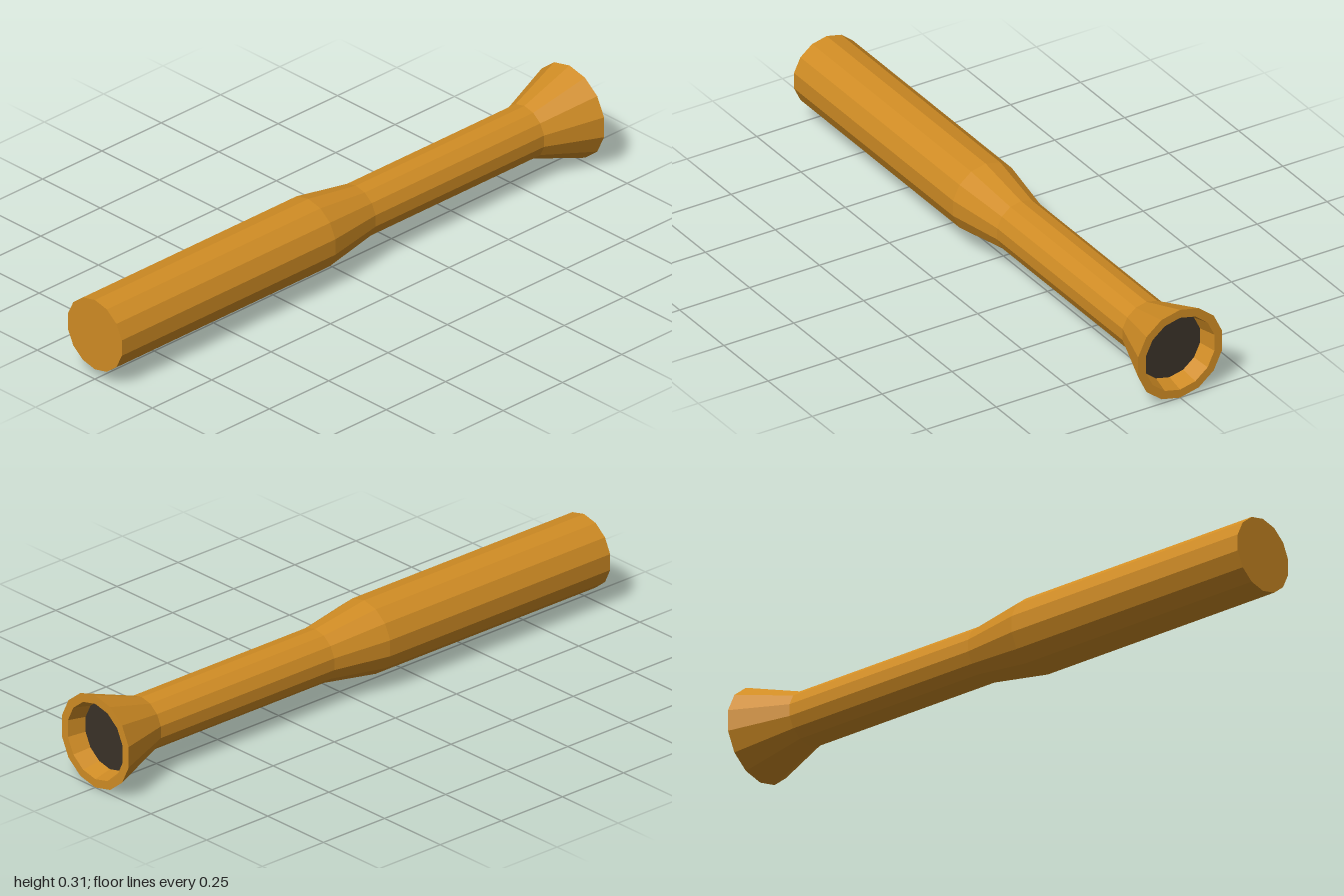
import * as THREE from 'three';

const SIDES = 14;
const AXIS_Y = 0.154; // height of the long axis, so the flare rests on the ground

export function createModel() {
  const group = new THREE.Group();
  const orange = new THREE.MeshStandardMaterial({ color: 0xd08c24, flatShading: true });
  const dark = new THREE.MeshStandardMaterial({ color: 0x3a3228, flatShading: true });

  // Revolves a [radius, distance towards the back] profile around the z axis
  const turned = (name, profile) => {
    const points = profile.map(([r, d]) => new THREE.Vector2(r, d));
    const geometry = new THREE.LatheGeometry(points, SIDES);
    geometry.rotateX(-Math.PI / 2);
    const mesh = new THREE.Mesh(geometry, orange);
    mesh.name = name;
    mesh.position.y = AXIS_Y;
    group.add(mesh);
  };

  // Thick grip with a flat front cap
  turned('grip', [[0, -1], [0.12, -1], [0.12, -0.1]]);
  // Taper and slim barrel
  turned('barrel', [[0.12, -0.1], [0.088, 0.1], [0.088, 0.81]]);
  // Flared head with a rim and a shallow recess
  turned('flaredHead', [[0.088, 0.81], [0.154, 1], [0.126, 1], [0.112, 0.94]]);

  // Dark disc at the bottom of the recess, facing back
  const disc = new THREE.Mesh(new THREE.CircleGeometry(0.112, SIDES, Math.PI / 2), dark);
  disc.name = 'lens';
  disc.rotation.y = Math.PI;
  disc.position.set(0, AXIS_Y, -0.94);
  group.add(disc);

  return group;
}
